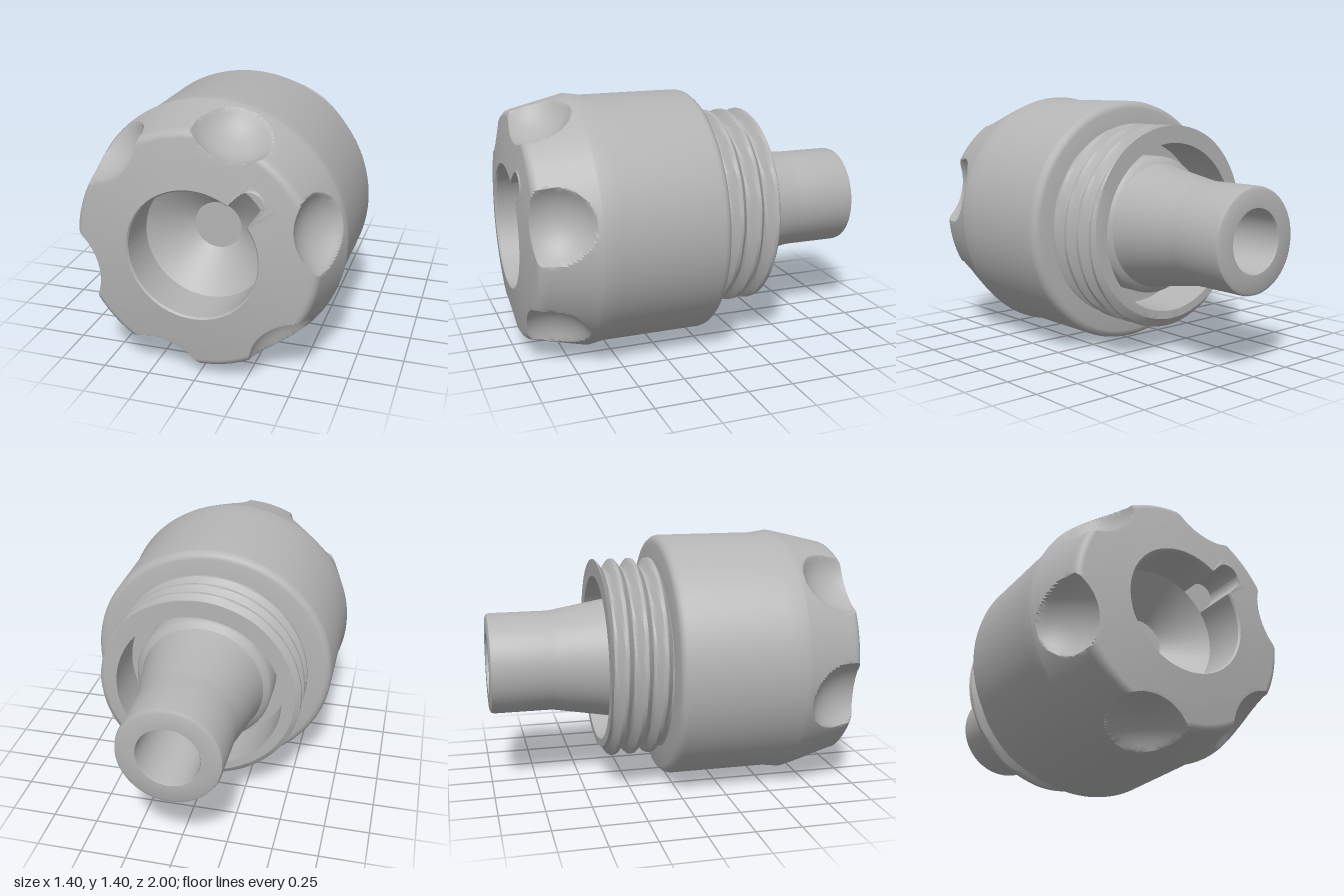
import * as THREE from 'three';
import { toCreasedNormals } from 'three/addons/utils/BufferGeometryUtils.js';

const TAU = Math.PI * 2;

// Surface around the z axis: rows of points, each given by at(theta, row) -> [radius, z]
function ringSurface(rows, segments, at) {
  const pos = [], index = [], w = segments + 1;
  for (let i = 0; i < rows; i++) {
    for (let j = 0; j <= segments; j++) {
      const t = ((j % segments) / segments) * TAU;
      const [r, z] = at(t, i);
      pos.push(r * Math.cos(t), r * Math.sin(t), z);
    }
  }
  for (let i = 0; i < rows - 1; i++) {
    for (let j = 0; j < segments; j++) {
      const a = i * w + j, b = a + w;
      index.push(a, b, a + 1, b, b + 1, a + 1);
    }
  }
  const g = new THREE.BufferGeometry();
  g.setAttribute('position', new THREE.Float32BufferAttribute(pos, 3));
  g.setIndex(index);
  return toCreasedNormals(g, 0.6);
}

const turned = (profile, segments) => ringSurface(profile.length, segments, (t, i) => profile[i]);

// Opening outline in polar form: round hole with a round-ended key slot at 45 degrees
const HOLE = 0.335, SLOT_W = 0.07, SLOT_D = 0.415;
function openingRadius(t) {
  const f = t - Math.PI / 4, s = Math.abs(Math.sin(f)), c = Math.cos(f);
  if (c < 0) return HOLE;
  let r = SLOT_W / Math.max(s, 1e-6);
  if (r * c > SLOT_D) r = SLOT_D * c + Math.sqrt(Math.max(0, SLOT_W ** 2 - (SLOT_D * s) ** 2));
  return Math.max(HOLE, r);
}

// Slightly domed front face
const faceZ = r => 1 - Math.max(0, r - 0.38) * 0.16;

// Six spherical finger dents pressed radially into the grip
const DENT_C = 0.78, DENT_S = 0.26, DENT_Z = 0.92, DENT_ANGLE = 13.5 * Math.PI / 180;
function dent(t, r, z) {
  const step = TAU / 6;
  const d = t - DENT_ANGLE - Math.round((t - DENT_ANGLE) / step) * step;
  const q = DENT_S ** 2 - (z - DENT_Z) ** 2 - (DENT_C * Math.sin(d)) ** 2;
  return q > 0 ? Math.min(r, DENT_C * Math.cos(d) - Math.sqrt(q)) : r;
}

function gripGeometry() {
  const rows = [];
  // Front socket: flat bottom, cone, slot floor and wall
  rows.push(() => [0, 0.59], () => [0.127, 0.59], () => [HOLE, 0.76]);
  rows.push(t => [openingRadius(t), 0.76], t => [openingRadius(t), 0.99]);
  rows.push(t => [openingRadius(t) + 0.008, faceZ(openingRadius(t) + 0.008)]);
  // Front face
  for (let i = 0; i <= 10; i++) {
    const r = 0.5 + i * 0.01;
    rows.push(t => [dent(t, r, faceZ(r)), faceZ(r)]);
  }
  // Rounded front edge and tapered side
  for (const [r, z] of [[0.613, 0.957], [0.624, 0.945]]) rows.push(t => [dent(t, r, z), z]);
  for (let i = 0; i <= 26; i++) {
    const k = i / 26, r = 0.63 + 0.07 * k, z = 0.93 - 0.29 * k;
    rows.push(t => [dent(t, r, z), z]);
  }
  // Straight barrel, rounded back edge and shoulder
  const back = [[0.687, 0.55], [0.687, -0.005], [0.682, -0.025], [0.668, -0.042], [0.645, -0.05], [0.45, -0.05]];
  for (const p of back) rows.push(() => p);
  return ringSurface(rows.length, 360, (t, i) => rows[i](t));
}

// Sleeve with a helical ridge on the outside
function sleeveGeometry() {
  const n = 48, pitch = 0.105, z0 = -0.045, z1 = -0.39;
  const inner = [[0.465, z1], [0.465, -0.1], [0.36, -0.1]];
  return ringSurface(n + 1 + inner.length, 120, (t, i) => {
    if (i > n) return inner[i - n - 1];
    const z = z0 + (z1 - z0) * i / n;
    const u = (z + 0.365) / pitch + t / TAU;
    const wave = Math.abs(u - Math.round(u)) * 2;
    const ridge = Math.min(1, Math.max(0, (0.85 - wave) / 0.65));
    return [0.51 + 0.05 * ridge, z];
  });
}

export function createModel() {
  const model = new THREE.Group();
  const axis = new THREE.Group();
  axis.name = 'capAssembly';
  axis.position.y = 0.7;
  model.add(axis);

  const grey = new THREE.MeshStandardMaterial({ color: 0xb4b4b4 });
  grey.name = 'plain grey';

  const add = (name, geometry) => {
    const mesh = new THREE.Mesh(geometry, grey);
    mesh.name = name;
    axis.add(mesh);
  };

  add('gripBody', gripGeometry());
  add('threadedSleeve', sleeveGeometry());

  // Hollow spout: base collar, flare, straight end and blind bore
  add('spout', turned([
    [0.385, -0.1], [0.385, -0.25], [0.375, -0.27], [0.345, -0.29], [0.335, -0.33],
    [0.323, -0.4], [0.282, -0.64], [0.28, -0.67], [0.28, -0.975], [0.275, -0.992],
    [0.26, -1], [0.17, -1], [0.165, -0.99], [0.165, 0.4], [0, 0.4],
  ], 96));

  return model;
}
